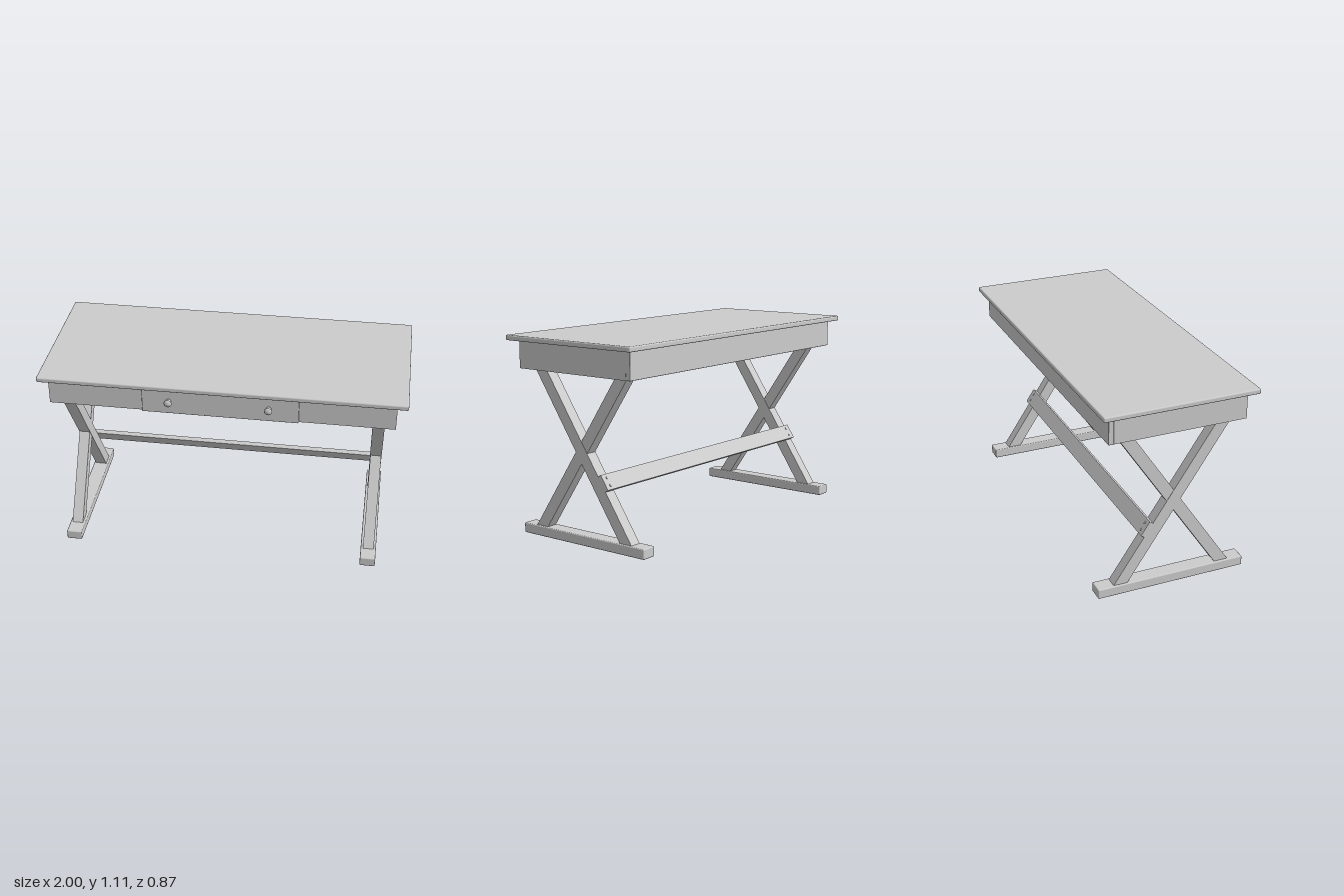
import * as THREE from 'three';
import { RoundedBoxGeometry } from 'three/addons/geometries/RoundedBoxGeometry.js';

export function createModel() {
  const desk = new THREE.Group();
  desk.name = 'desk';
  const paint = new THREE.MeshStandardMaterial({ color: 0xcccccc });
  paint.name = 'grey paint';

  function add(name, geometry, x, y, z, parent = desk) {
    const mesh = new THREE.Mesh(geometry, paint);
    mesh.name = name;
    mesh.position.set(x, y, z);
    parent.add(mesh);
    return mesh;
  }
  // Block given by its limits on each axis, with optionally softened edges
  function block(name, [x0, x1], [y0, y1], [z0, z1], radius = 0) {
    const size = [x1 - x0, y1 - y0, z1 - z0];
    const geometry = radius
      ? new RoundedBoxGeometry(...size, 2, radius)
      : new THREE.BoxGeometry(...size);
    return add(name, geometry, (x0 + x1) / 2, (y0 + y1) / 2, (z0 + z1) / 2);
  }

  // Worktop and the closed case below it
  block('worktop', [-1, 1], [1.083, 1.112], [-0.435, 0.435], 0.008);
  block('case', [-0.947, 0.943], [0.93, 1.083], [-0.36, 0.388]);
  block('backBoard', [-0.95, 0.946], [0.93, 1.083], [-0.39, -0.36], 0.004);

  // Drawer, its underside just proud of the case
  block('drawerBottom', [-0.43, 0.425], [0.927, 0.94], [-0.31, 0.385]);
  block('drawerFront', [-0.43, 0.425], [0.925, 1.076], [0.37, 0.396], 0.004);

  // Turned knobs
  const knobProfile = [
    [0, 0], [0.015, 0], [0.015, 0.004], [0.008, 0.008], [0.007, 0.017],
    [0.019, 0.022], [0.022, 0.026], [0.018, 0.031], [0.009, 0.035], [0, 0.036],
  ].map(([r, h]) => new THREE.Vector2(r, h));
  for (const x of [-0.282, 0.262]) {
    const knob = add('drawerKnob', new THREE.LatheGeometry(knobProfile, 20), x, 1.002, 0.395);
    knob.rotation.x = Math.PI / 2;
  }

  // A leaning leg: a sheared outline whose ends are cut level
  function leg(name, x, width, zBottom, zTop) {
    const half = 0.04, y0 = 0.05, y1 = 0.935;
    const shape = new THREE.Shape([
      new THREE.Vector2(-zBottom - half, y0), new THREE.Vector2(-zBottom + half, y0),
      new THREE.Vector2(-zTop + half, y1), new THREE.Vector2(-zTop - half, y1),
    ]);
    const geometry = new THREE.ExtrudeGeometry(shape, { depth: width, bevelEnabled: false });
    geometry.translate(0, 0, -width / 2);
    const mesh = add(name, geometry, x, 0, 0);
    mesh.rotation.y = Math.PI / 2;
  }

  // Crossed legs on sled feet
  for (const x of [-0.868, 0.852]) {
    block('foot', [x - 0.044, x + 0.044], [0, 0.056], [-0.43, 0.43], 0.006);
    leg('forwardLeg', x, 0.066, -0.302, 0.292);
    leg('backwardLeg', x, 0.062, 0.307, -0.282);
  }

  // Stretcher lying flat against the rear faces of the legs
  const stretcher = new THREE.Group();
  stretcher.name = 'stretcher';
  stretcher.position.set(-0.008, 0.36, -0.148);
  stretcher.rotation.x = Math.atan2(0.594, 0.885);
  desk.add(stretcher);
  add('stretcherBoard', new THREE.BoxGeometry(1.79, 0.09, 0.024), 0, 0, 0, stretcher);
  for (const x of [-0.86, 0.86]) {
    for (const y of [-0.022, 0.022]) {
      const bolt = add('bolt', new THREE.CylinderGeometry(0.007, 0.008, 0.005, 12), x, y, -0.013, stretcher);
      bolt.rotation.x = -Math.PI / 2;
    }
  }
  return desk;
}
